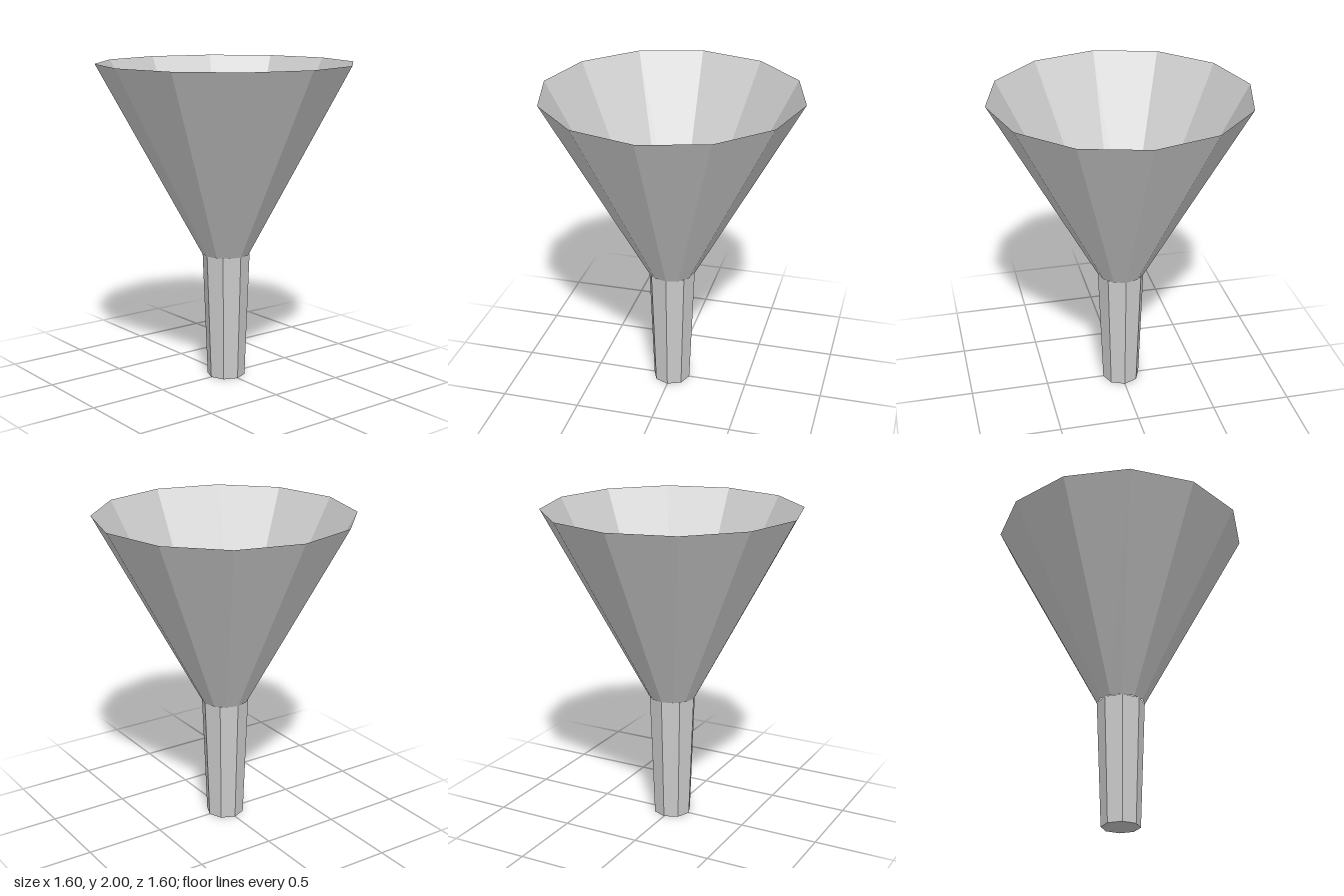
import * as THREE from 'three';

export function createModel() {
  const model = new THREE.Group();
  model.name = 'funnel';
  const material = new THREE.MeshStandardMaterial({
    color: 0xcccccc, flatShading: true, side: THREE.DoubleSide,
  });

  // Tapered section standing on height y
  function addSection(name, topRadius, bottomRadius, y, height, sides, open) {
    const geometry = new THREE.CylinderGeometry(topRadius, bottomRadius, height, sides, 1, open);
    const mesh = new THREE.Mesh(geometry, material);
    mesh.name = name;
    mesh.position.y = y + height / 2;
    model.add(mesh);
  }

  // Closed eight-sided spout
  addSection('spout', 0.15, 0.12, 0, 0.8, 8, false);
  // Open twelve-sided cone
  addSection('cone', 0.8, 0.15, 0.8, 1.2, 12, true);

  return model;
}
